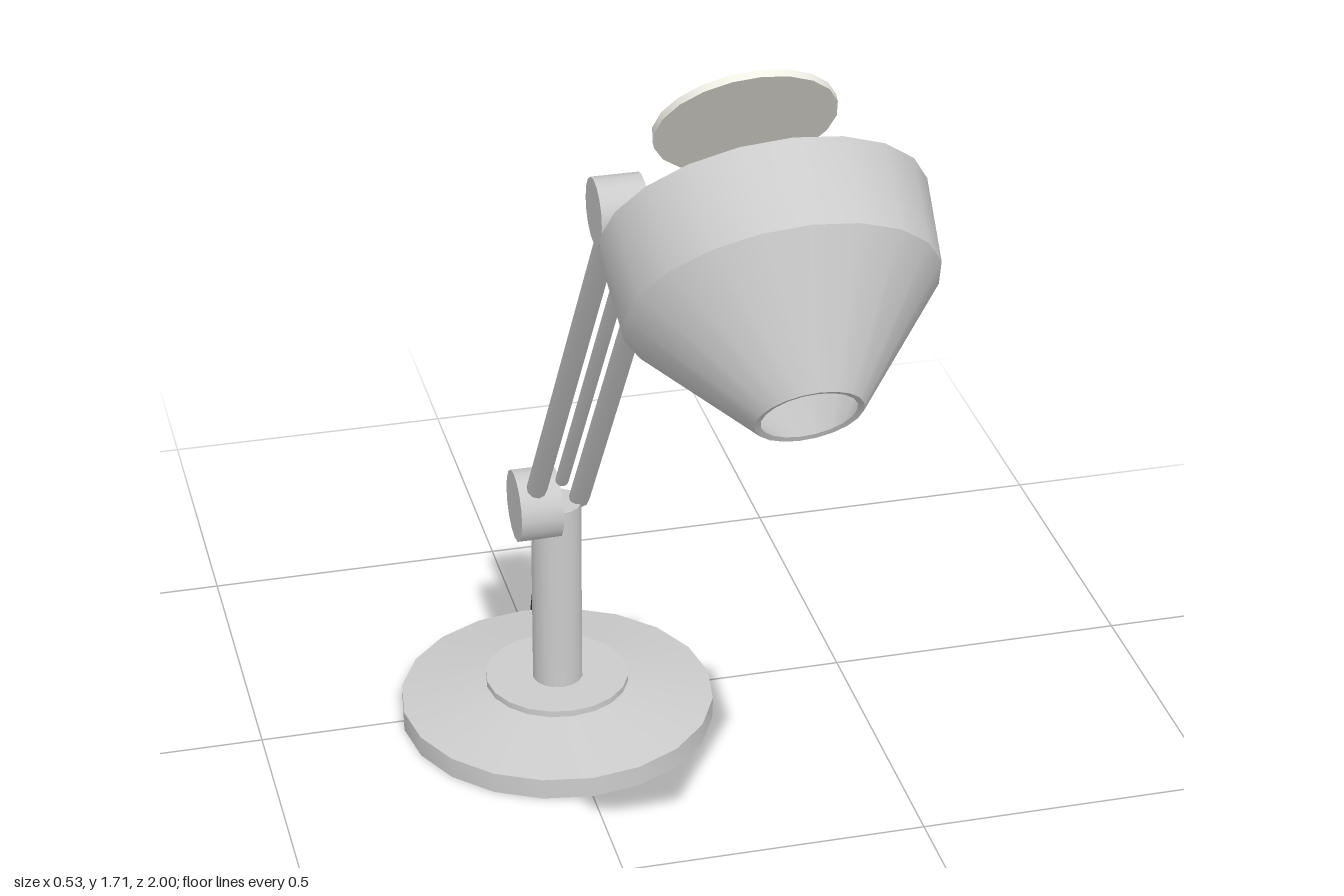
import * as THREE from 'three';
import { toCreasedNormals } from 'three/addons/utils/BufferGeometryUtils.js';

const grey = new THREE.MeshStandardMaterial({ color: 0xcccccc });
const pale = new THREE.MeshStandardMaterial({ color: 0xf0efe6 });
const dark = new THREE.MeshStandardMaterial({ color: 0x333333 });
const UP = new THREE.Vector3(0, 1, 0);
const v = (x, y, z) => new THREE.Vector3(x, y, z);

export function createModel() {
  const group = new THREE.Group();

  function add(name, geometry, material, position) {
    const mesh = new THREE.Mesh(geometry, material);
    mesh.name = name;
    mesh.position.copy(position);
    group.add(mesh);
    return mesh;
  }

  // Round bar between two points
  function rod(name, a, b, radius, material = grey, sides = 10) {
    const dir = b.clone().sub(a);
    const mesh = add(name, new THREE.CylinderGeometry(radius, radius, dir.length(), sides),
      material, a.clone().lerp(b, 0.5));
    mesh.quaternion.setFromUnitVectors(UP, dir.normalize());
    return mesh;
  }

  // Turned part: profile of [radius, height] pairs
  function turned(name, profile, position, sides = 20) {
    const points = profile.map(([r, h]) => new THREE.Vector2(r, h));
    const geometry = toCreasedNormals(new THREE.LatheGeometry(points, sides), 0.45);
    return add(name, geometry, grey, position);
  }

  const elbow = v(0, 1.23, 0.11);
  const shoulder = v(0, 0.413, -0.468);

  // Weighted foot, post and power cord
  turned('base', [[0, 0], [0.263, 0], [0.263, 0.036], [0.12, 0.064], [0.12, 0.075], [0, 0.075]],
    v(0, 0, -0.473));
  rod('post', v(0, 0.06, -0.468), v(0, 0.412, -0.468), 0.042, grey, 16);
  rod('cord', v(0, 0.022, -0.66), v(0.093, 0.022, -0.998), 0.01, dark, 8);

  // Joint knobs, on the model's right
  for (const [name, joint, radius] of [['shoulderKnob', shoulder, 0.06], ['elbowKnob', elbow, 0.05]]) {
    rod(name, v(-0.07, joint.y, joint.z), v(0, joint.y, joint.z), radius, grey, 16);
  }

  // Lower arm: two parallel rods with a thin spring rod between
  for (const side of [-1, 1]) {
    const shift = v(side * 0.039, 0, 0);
    rod(side < 0 ? 'lowerArmRight' : 'lowerArmLeft',
      shoulder.clone().add(shift), elbow.clone().add(shift), 0.017);
  }
  rod('springRod', shoulder.clone().lerp(elbow, 0.08), shoulder.clone().lerp(elbow, 0.885), 0.011);

  // Upper arm
  rod('upperArm', elbow, v(0, 1.565, 0.735), 0.017);

  // Lamp head tilted forward and down: hollow shade, closed at the wide end
  const tilt = Math.atan2(0.811, -0.585);
  const shade = turned('shade', [[0, 0], [0.21, 0], [0.202, 0.115], [0.069, 0.274], [0.061, 0.272],
    [0.194, 0.112], [0.202, 0.006], [0, 0.006]], v(0, 1.515, 0.738));
  shade.rotation.x = tilt;

  // Pale disc behind the shade
  const disc = add('disc', new THREE.CylinderGeometry(0.119, 0.119, 0.01, 20), pale, v(0, 1.608, 0.645));
  disc.rotation.x = tilt;

  return group;
}
